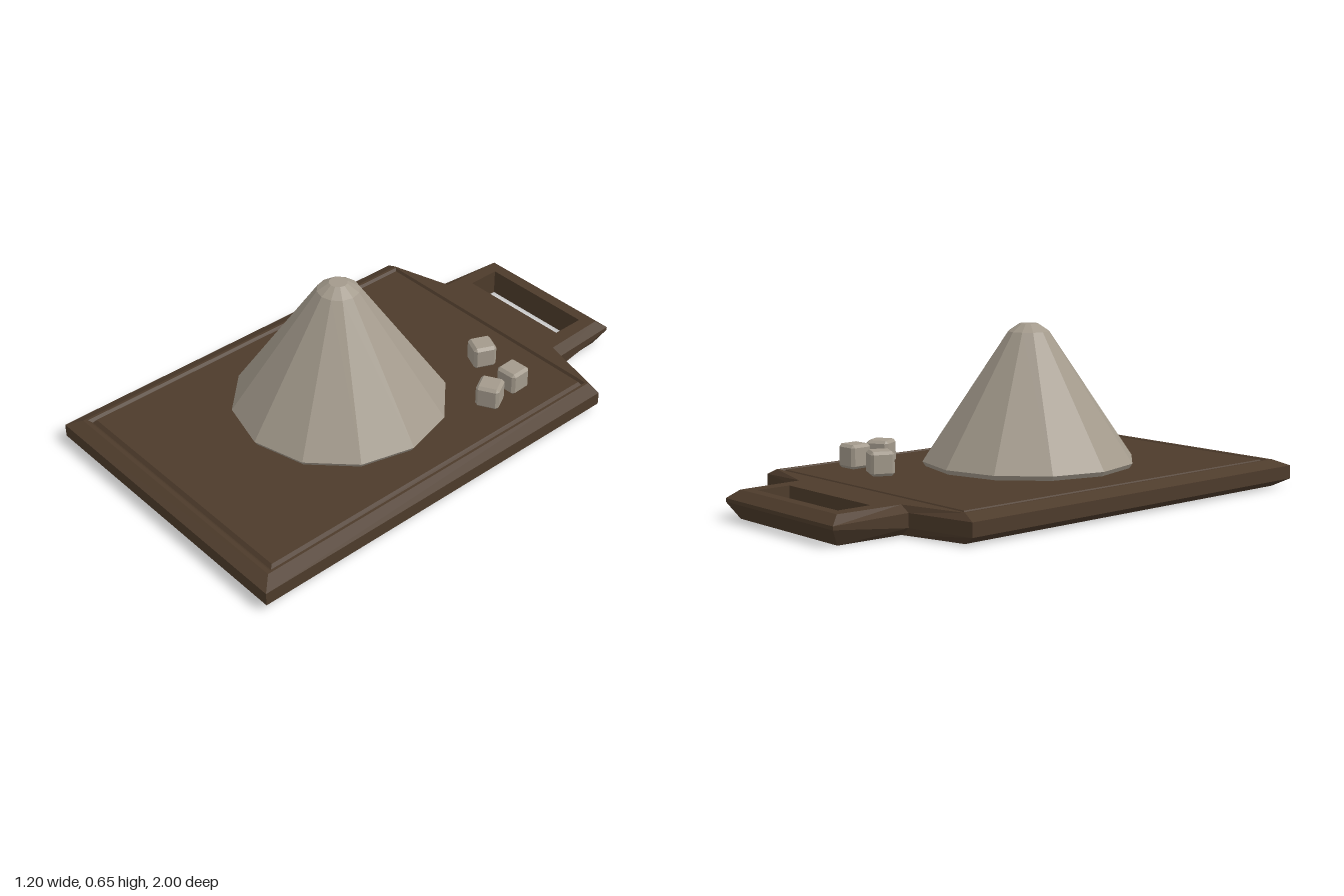
import * as THREE from 'three';
import { ConvexGeometry } from 'three/addons/geometries/ConvexGeometry.js';

const wood = new THREE.MeshStandardMaterial({ color: 0x4d3b2b, flatShading: true });
wood.name = 'darkWood';
const stone = new THREE.MeshStandardMaterial({ color: 0xa39a8c, flatShading: true });
stone.name = 'paleStone';

const TOP = 0.105;

// Mirror right-half points [x, y, z] (front to back) into a closed loop
const mirrorLoop = (half) => [...half, ...half.map(([x, y, z]) => [-x, y, z]).reverse()];
const rect = (x, y, zFront, zBack) => mirrorLoop([[x, y, zFront], [x, y, zBack]]);

// Skin successive closed loops with quads
function skin(...loops) {
  const pos = [];
  for (let k = 0; k + 1 < loops.length; k++) {
    const a = loops[k], b = loops[k + 1];
    a.forEach((p, i) => {
      const j = (i + 1) % a.length;
      pos.push(...p, ...a[j], ...b[j], ...p, ...b[j], ...b[i]);
    });
  }
  const g = new THREE.BufferGeometry();
  g.setAttribute('position', new THREE.Float32BufferAttribute(pos, 3));
  g.computeVertexNormals();
  return g;
}

// Flat horizontal face with holes, facing up (dir 1) or down (dir -1)
function cap(loop, holes, y, dir) {
  const pts = (l) => l.map(([x, , z]) => new THREE.Vector2(x, -dir * z));
  const shape = new THREE.Shape(pts(loop));
  shape.holes = holes.map((h) => new THREE.Path(pts(h)));
  return new THREE.ShapeGeometry(shape).rotateX(-dir * Math.PI / 2).translate(0, y, 0);
}

// Cube with chamfered edges
function chamferedCube(h, c) {
  const pts = [];
  for (const x of [-1, 1]) for (const y of [-1, 1]) for (const z of [-1, 1]) {
    for (let axis = 0; axis < 3; axis++) {
      const s = [h - c, h - c, h - c];
      s[axis] = h;
      pts.push(new THREE.Vector3(x * s[0], y * s[1], z * s[2]));
    }
  }
  return new ConvexGeometry(pts);
}

export function createModel() {
  const model = new THREE.Group();
  const add = (parent, name, geometry, material) => {
    const m = new THREE.Mesh(geometry, material);
    m.name = name;
    parent.add(m);
    return m;
  };

  // Board: bevelled outline with a narrower handle at the back
  const board = new THREE.Group();
  board.name = 'board';
  model.add(board);
  const inset = (y) => mirrorLoop([[0.55, y, 0.95], [0.55, y, -0.63], [0.3, y, -0.7], [0.29, y, -0.96]]);
  const outer = (y, yEnd) => mirrorLoop([[0.6, y, 1], [0.6, y, -0.64], [0.34, y, -0.7], [0.322, yEnd, -1]]);
  const bottom = inset(0), top = inset(TOP);
  add(board, 'boardEdge', skin(bottom, outer(0.03, 0.062), outer(0.082, 0.075), top), wood);

  // Handle slot
  const slot = (y) => rect(0.24, y, -0.785, -0.92);
  add(board, 'handleSlot', skin(slot(0).reverse(), slot(TOP).reverse()), wood);

  // Juice groove: shallow V running around the top
  const grooveOuter = rect(0.54, TOP, 0.935, -0.625);
  const grooveMid = rect(0.53, 0.092, 0.922, -0.617);
  const grooveInner = rect(0.52, TOP, 0.91, -0.608);
  add(board, 'groove', skin(grooveOuter, grooveMid, grooveInner), wood);

  // Top rim, inner panel and underside
  add(board, 'boardRim', cap(top, [grooveOuter, slot(TOP)], TOP, 1), wood);
  add(board, 'boardPanel', cap(grooveInner, [], TOP, 1), wood);
  add(board, 'boardUnderside', cap(bottom, [slot(0)], 0, -1), wood);

  // Twelve-sided cone with chamfered foot and tip
  const profile = [[0, 0.112], [0.4, 0.112], [0.412, 0.13], [0.08, 0.62], [0.035, 0.65], [0, 0.65]];
  const cone = add(model, 'cone',
    new THREE.LatheGeometry(profile.map(([r, y]) => new THREE.Vector2(r, y)), 12), stone);
  cone.position.z = 0.157;

  // Small loose cubes
  const cubeGeometry = chamferedCube(0.046, 0.011);
  [[0.18, -0.42, -0.42], [0.372, -0.395, 0.04], [0.384, -0.26, 0.5]].forEach(([x, z, turn], i) => {
    const cube = add(model, 'cube' + (i + 1), cubeGeometry, stone);
    cube.position.set(x, 0.155, z);
    cube.rotation.y = turn;
  });

  return model;
}
